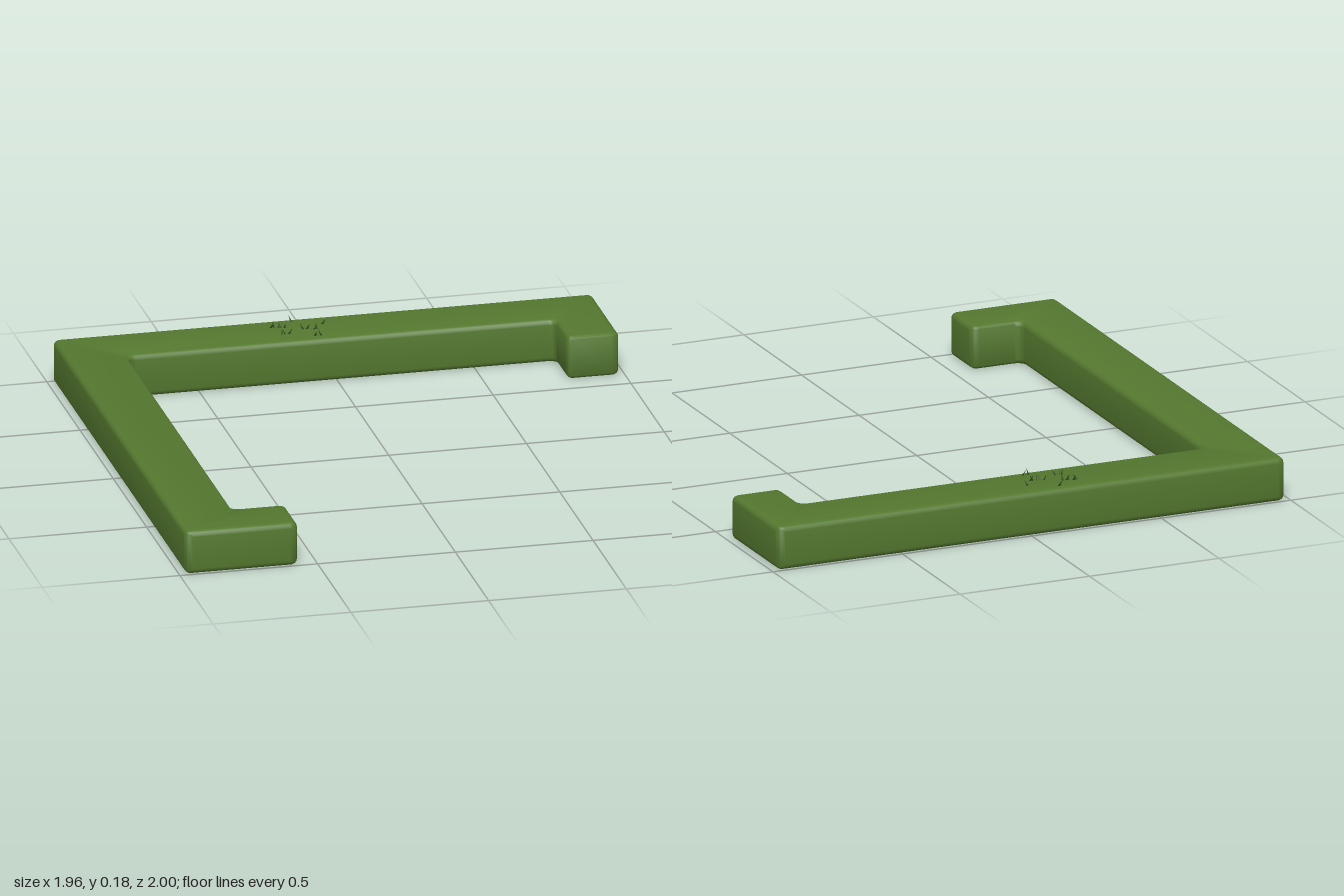
import * as THREE from 'three';
import { toCreasedNormals } from 'three/addons/utils/BufferGeometryUtils.js';

// Closed shape with every corner rounded by radius r
function roundedShape(points, r) {
  const shape = new THREE.Shape();
  const pts = points.map(([x, z]) => new THREE.Vector2(x, -z));
  pts.forEach((p, i) => {
    const prev = pts[(i + pts.length - 1) % pts.length];
    const next = pts[(i + 1) % pts.length];
    const a = p.clone().add(prev.clone().sub(p).setLength(r));
    const b = p.clone().add(next.clone().sub(p).setLength(r));
    if (i === 0) shape.moveTo(a.x, a.y);
    else shape.lineTo(a.x, a.y);
    shape.quadraticCurveTo(p.x, p.y, b.x, b.y);
  });
  shape.closePath();
  return shape;
}

export function createModel() {
  const model = new THREE.Group();
  model.name = 'hedge';

  const leafGreen = new THREE.MeshStandardMaterial({ color: 0x54782f });
  leafGreen.name = 'leafGreen';
  const twigGreen = new THREE.MeshStandardMaterial({ color: 0x2f4a1c, side: THREE.DoubleSide });
  twigGreen.name = 'twigGreen';

  // Hedge body: corner run with a short return at each end
  const outline = [
    [-0.98, 1], [-0.57, 1], [-0.57, 0.8], [-0.76, 0.8], [-0.76, -0.77],
    [0.79, -0.77], [0.79, -0.585], [0.98, -0.585], [0.98, -1], [-0.98, -1],
  ];
  const bevel = 0.02;
  const height = 0.16;
  const bodyGeometry = new THREE.ExtrudeGeometry(roundedShape(outline, 0.028), {
    depth: height - 2 * bevel,
    bevelEnabled: true,
    bevelSize: bevel,
    bevelThickness: bevel,
    bevelOffset: -bevel,
    bevelSegments: 4,
    curveSegments: 5,
  });
  bodyGeometry.rotateX(-Math.PI / 2);
  bodyGeometry.translate(0, bevel, 0);
  const body = new THREE.Mesh(toCreasedNormals(bodyGeometry, 0.7), leafGreen);
  body.name = 'hedgeBody';
  model.add(body);

  // Tiny loose sprigs on the top: x, z, blade count
  const sprigs = [
    [-0.2, -0.925, 2], [-0.17, -0.915, 3], [-0.17, -0.85, 3], [-0.12, -0.965, 1],
    [-0.09, -0.885, 2], [-0.06, -0.875, 3], [-0.06, -0.81, 3], [-0.02, -0.92, 1],
  ];
  const blade = new THREE.BufferGeometry();
  blade.setAttribute('position', new THREE.Float32BufferAttribute(
    [-0.005, 0, 0, 0.005, 0, 0, 0.012, 0.024, 0.006], 3));
  blade.computeVertexNormals();
  sprigs.forEach(([x, z, count], i) => {
    const sprig = new THREE.Group();
    sprig.name = `sprig${i + 1}`;
    sprig.position.set(x, height - 0.001, z);
    for (let k = 0; k < count; k++) {
      const mesh = new THREE.Mesh(blade, twigGreen);
      mesh.name = 'sprigBlade';
      mesh.position.x = (k - (count - 1) / 2) * 0.012;
      mesh.rotation.y = i * 0.9 + k * 2.2;
      sprig.add(mesh);
    }
    model.add(sprig);
  });

  return model;
}
